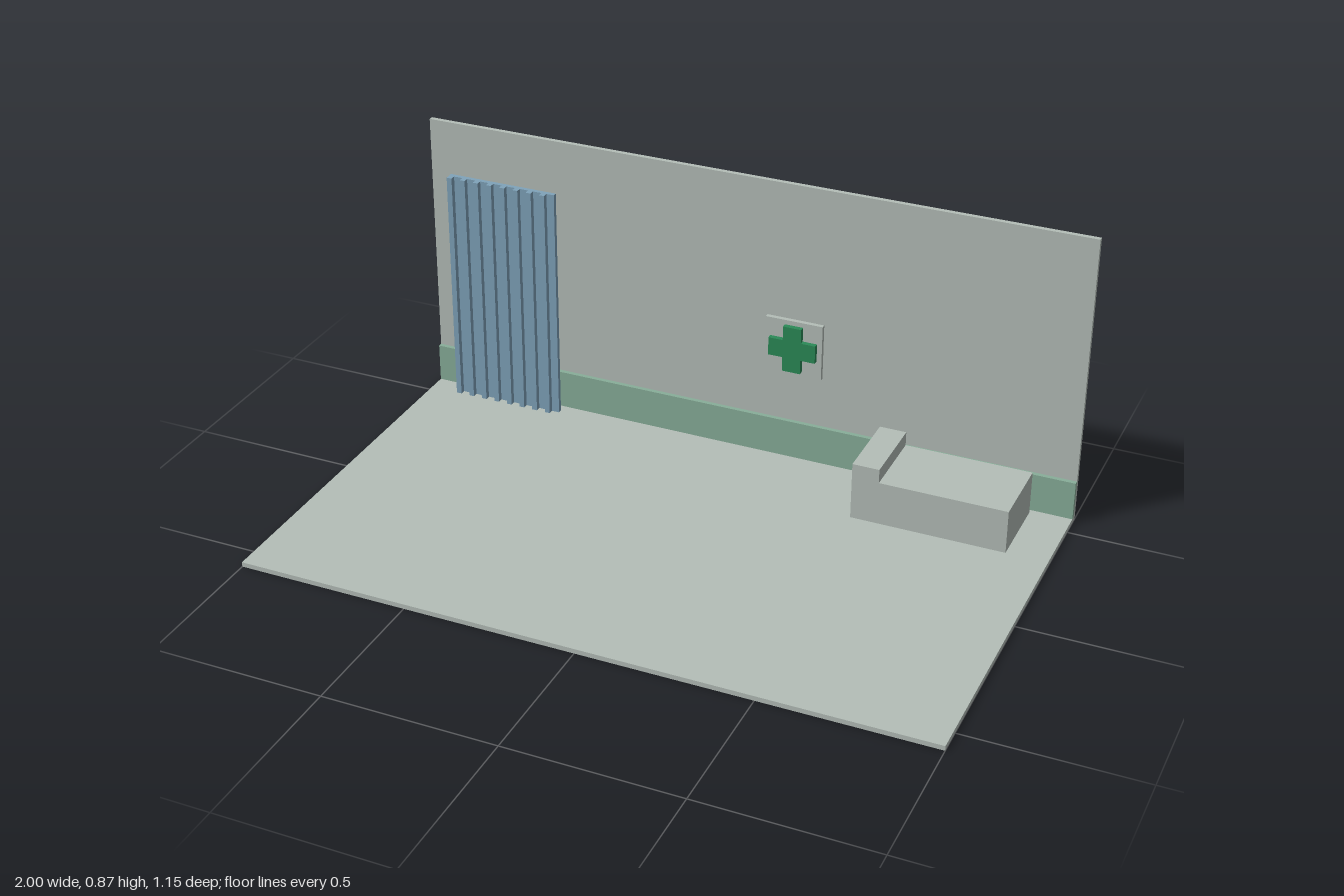
import * as THREE from 'three';

export function createModel() {
  const model = new THREE.Group();
  model.name = 'clinicRoom';
  const mat = (name, color) => {
    const m = new THREE.MeshStandardMaterial({ color });
    m.name = name;
    return m;
  };
  const pale = mat('paleGrey', 0xb4beb8);
  const sage = mat('sageGreen', 0x88ae99);
  const blue = mat('curtainBlue', 0x7fa3ba);
  const green = mat('crossGreen', 0x2b8a57);

  const add = (name, geometry, material, parent = model) => {
    const mesh = new THREE.Mesh(geometry, material);
    mesh.name = name;
    parent.add(mesh);
    return mesh;
  };
  // Box given by its lower and upper limits on each axis
  const box = (name, material, [x0, x1], [y0, y1], [z0, z1], parent) =>
    add(name, new THREE.BoxGeometry(x1 - x0, y1 - y0, z1 - z0), material, parent)
      .position.set((x0 + x1) / 2, (y0 + y1) / 2, (z0 + z1) / 2);
  // Outline in x and y, extruded from z0 to z1
  const slab = (name, material, points, z0, z1) => {
    const shape = new THREE.Shape(points.map(([x, y]) => new THREE.Vector2(x, y)));
    const geometry = new THREE.ExtrudeGeometry(shape, { depth: z1 - z0, bevelEnabled: false });
    add(name, geometry, material).position.z = z0;
  };

  // Room shell
  box('floor', pale, [-1, 1], [0, 0.014], [-0.563, 0.577]);
  box('backWall', pale, [-1, 1], [0, 0.872], [-0.577, -0.563]);
  box('wallBand', sage, [-1, 1], [0.014, 0.13], [-0.563, -0.55]);

  // Curtain: thin sheet with evenly spaced folds on its front
  const curtain = new THREE.Group();
  curtain.name = 'curtain';
  model.add(curtain);
  box('curtainSheet', blue, [-0.915, -0.575], [0.014, 0.729], [-0.523, -0.51], curtain);
  for (let i = 0; i < 8; i++) {
    const x = -0.914 + i * 0.0428;
    box('curtainFold', blue, [x, x + 0.016], [0.014, 0.729], [-0.51, -0.494], curtain);
  }

  // Wall sign with a raised cross
  box('signPlate', pale, [0.069, 0.241], [0.286, 0.457], [-0.563, -0.55]);
  const cx = 0.155, cy = 0.372, a = 0.0275, b = 0.071;
  const cross = [
    [-a, -b], [a, -b], [a, -a], [b, -a], [b, a], [a, a],
    [a, b], [-a, b], [-a, a], [-b, a], [-b, -a], [-a, -a],
  ].map(([x, y]) => [cx + x, cy + y]);
  slab('signCross', green, cross, -0.55, -0.535);

  // Bed with a raised head end
  slab('bed', pale, [
    [0.429, 0.014], [0.88, 0.014], [0.88, 0.145],
    [0.508, 0.145], [0.508, 0.187], [0.429, 0.187],
  ], -0.535, -0.309);

  return model;
}
